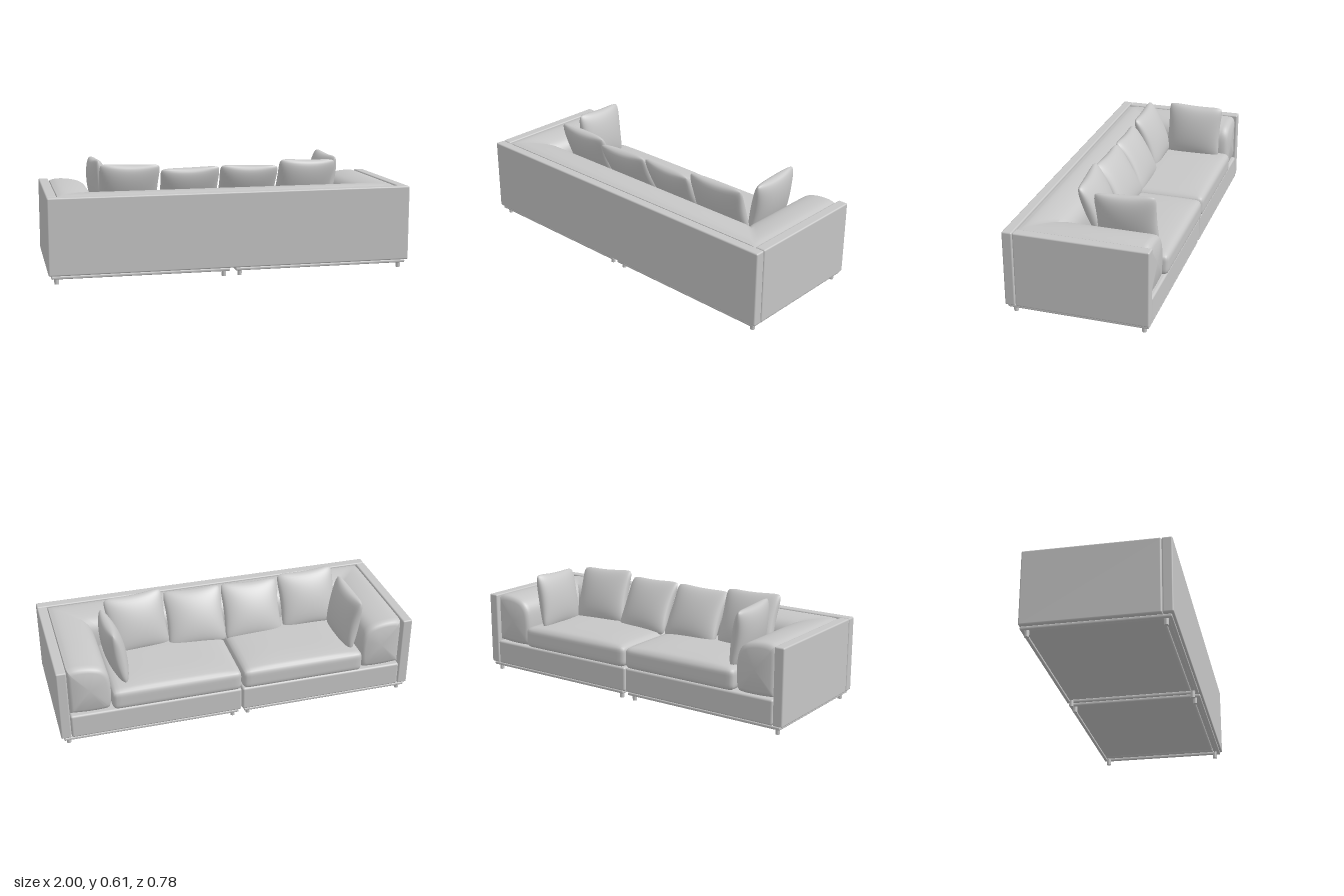
import * as THREE from 'three';
import { mergeGeometries, mergeVertices, toCreasedNormals } from 'three/addons/utils/BufferGeometryUtils.js';
import { RoundedBoxGeometry } from 'three/addons/geometries/RoundedBoxGeometry.js';

// Weld a geometry so its normals are smooth
function smooth(geo) {
  geo.deleteAttribute('normal');
  geo.deleteAttribute('uv');
  const g = mergeVertices(geo, 1e-5);
  g.computeVertexNormals();
  return g;
}

// Box with rounded edges and a domed top
function softBox(w, h, d, r, dome) {
  const g = new THREE.BoxGeometry(w, h, d, 32, 10, 32);
  const half = new THREE.Vector3(w / 2 - r, h / 2 - r, d / 2 - r);
  const min = half.clone().negate();
  const p = g.attributes.position, v = new THREE.Vector3(), inner = new THREE.Vector3();
  for (let i = 0; i < p.count; i++) {
    v.fromBufferAttribute(p, i);
    inner.copy(v).clamp(min, half);
    const u = v.x / (w / 2), t = v.z / (d / 2), up = Math.max(0, v.y / (h / 2));
    v.sub(inner).normalize().multiplyScalar(r).add(inner);
    v.y += dome * up * (1 - u ** 4) * (1 - t ** 4);
    p.setXYZ(i, v.x, v.y, v.z);
  }
  return smooth(g);
}

// Stuffed square pillow: two domed sheets with pinched sides and soft corners
function pillowGeometry(w, h, thick) {
  const sheets = [1, -1].map((side) => {
    const g = new THREE.PlaneGeometry(2, 2, 22, 22);
    if (side < 0) g.rotateY(Math.PI);
    const p = g.attributes.position;
    for (let i = 0; i < p.count; i++) {
      const u = Math.sin(p.getX(i) * Math.PI / 2), v = Math.sin(p.getY(i) * Math.PI / 2);
      const puff = Math.max(0, (1 - u * u) * (1 - v * v)) ** 0.42;
      p.setXYZ(i,
        w / 2 * u * (1 - 0.06 * (1 - v * v) - 0.07 * v ** 8),
        h / 2 * v * (1 - 0.06 * (1 - u * u) - 0.07 * u ** 8),
        side * thick / 2 * puff);
    }
    return g;
  });
  return smooth(mergeGeometries(sheets));
}

// U-shaped arm and back cushion: one profile swept round two mitred corners
function wrapCushion() {
  const profile = new THREE.SplineCurve([
    [0, 0.19], [0, 0.3], [0, 0.44], [0.012, 0.462], [0.06, 0.469], [0.13, 0.462], [0.185, 0.442],
    [0.218, 0.4], [0.23, 0.33], [0.23, 0.25], [0.222, 0.2], [0.2, 0.185], [0.1, 0.183], [0, 0.19],
  ].map(([d, y]) => new THREE.Vector2(d, y))).getPoints(52);
  const X = 0.942, Z = 0.332, cx = 0.115, cy = 0.325;
  const arm = (z, s = 1) => (d, y) => [-(X - (cx + (d - cx) * s)), cy + (y - cy) * s, z];
  const half = [
    arm(-0.368, 0), arm(-0.366, 0.8), arm(-0.358, 0.92), arm(-0.345, 0.98), arm(-0.325), arm(-0.1),
    (d, y) => [-(X - d), y, Z - d - 0.03],
    (d, y) => [-(X - d), y - 0.004, Z - d],
    (d, y) => [-(X - d) + 0.03, y, Z - d],
  ];
  const mirrored = half.slice().reverse().map((f) => (d, y) => {
    const [x, h, z] = f(d, y);
    return [-x, h, z];
  });
  const stations = [...half, ...mirrored], pos = [], index = [], n = profile.length;
  stations.forEach((f, i) => profile.forEach((q, j) => {
    pos.push(...f(q.x, q.y));
    if (i < stations.length - 1 && j < n - 1) {
      const a = i * n + j, b = a + 1, c = a + n, e = c + 1;
      index.push(a, c, b, b, c, e);
    }
  }));
  const g = new THREE.BufferGeometry();
  g.setAttribute('position', new THREE.Float32BufferAttribute(pos, 3));
  g.setIndex(index);
  return toCreasedNormals(g, 0.75);
}

export function createModel() {
  const model = new THREE.Group();
  model.name = 'sofa';
  const grey = new THREE.MeshStandardMaterial({ color: 0xc6c6c6 });
  grey.name = 'light grey';

  const add = (name, geo, x = 0, y = 0, z = 0, parent = model) => {
    const m = new THREE.Mesh(geo, grey);
    m.name = name;
    m.position.set(x, y, z);
    parent.add(m);
    return m;
  };
  // Rounded block given by its limits on each axis
  const block = (name, x0, x1, y0, y1, z0, z1, r, parent) => add(name,
    new RoundedBoxGeometry(x1 - x0, y1 - y0, z1 - z0, 3, r),
    (x0 + x1) / 2, (y0 + y1) / 2, (z0 + z1) / 2, parent);

  // Outer shell
  block('backPanel', -1, 1, 0.05, 0.465, 0.337, 0.392, 0.008);
  block('rightSidePanel', -1, -0.944, 0.05, 0.465, -0.376, 0.335, 0.008);
  block('leftSidePanel', 0.944, 1, 0.05, 0.465, -0.376, 0.335, 0.008);
  add('armAndBackCushion', wrapCushion());

  // Two modules: seat base, seat cushion, metal frame and legs
  const modules = [
    { side: 'right', base: [-0.942, -0.013], seat: [-0.712, -0.014], frame: [-0.985, -0.024] },
    { side: 'left', base: [-0.007, 0.942], seat: [-0.006, 0.712], frame: [0.008, 0.985] },
  ];
  for (const { side, base, seat, frame } of modules) {
    block(side + 'SeatBase', base[0], base[1], 0.048, 0.186, -0.376, 0.336, 0.012);
    add(side + 'SeatCushion', softBox(seat[1] - seat[0], 0.118, 0.525, 0.03, 0.018),
      (seat[0] + seat[1]) / 2, 0.245, -0.126);

    const support = new THREE.Group();
    support.name = side + 'Frame';
    model.add(support);
    const [x0, x1] = frame;
    for (const z of [-0.362, 0.372]) block('longRail', x0, x1, 0.031, 0.048, z - 0.009, z + 0.009, 0.006, support);
    for (const x of [x0 + 0.009, x1 - 0.009]) {
      block('crossRail', x - 0.009, x + 0.009, 0.031, 0.048, -0.37, 0.38, 0.006, support);
    }
    for (const x of [x0 + 0.028, x1 - 0.028]) {
      for (const z of [-0.34, 0.349]) add('leg', new THREE.CylinderGeometry(0.012, 0.012, 0.036, 20), x, 0.018, z, support);
    }
  }

  // Loose pillows: x, y, z, turn, lean, roll, width, height
  const pillows = [
    ['backPillow', -0.532, 0.447, 0.06, 0, 0.40, -0.03, 0.345, 0.33],
    ['backPillow', -0.19, 0.428, 0.055, 0.03, 0.50, 0.03, 0.345, 0.33],
    ['backPillow', 0.145, 0.432, 0.055, -0.06, 0.50, -0.03, 0.34, 0.33],
    ['backPillow', 0.48, 0.447, 0.06, 0.06, 0.38, -0.04, 0.345, 0.33],
    ['rightArmPillow', -0.674, 0.445, -0.165, -Math.PI / 2 + 0.05, 0.14, 0.04, 0.335, 0.325],
    ['leftArmPillow', 0.655, 0.445, -0.155, Math.PI / 2 + 0.05, 0.18, 0.04, 0.335, 0.325],
  ];
  for (const [name, x, y, z, turn, lean, roll, w, h] of pillows) {
    const m = add(name, pillowGeometry(w, h, 0.115), x, y, z);
    m.rotation.set(lean, turn, roll, 'YXZ');
  }
  return model;
}
